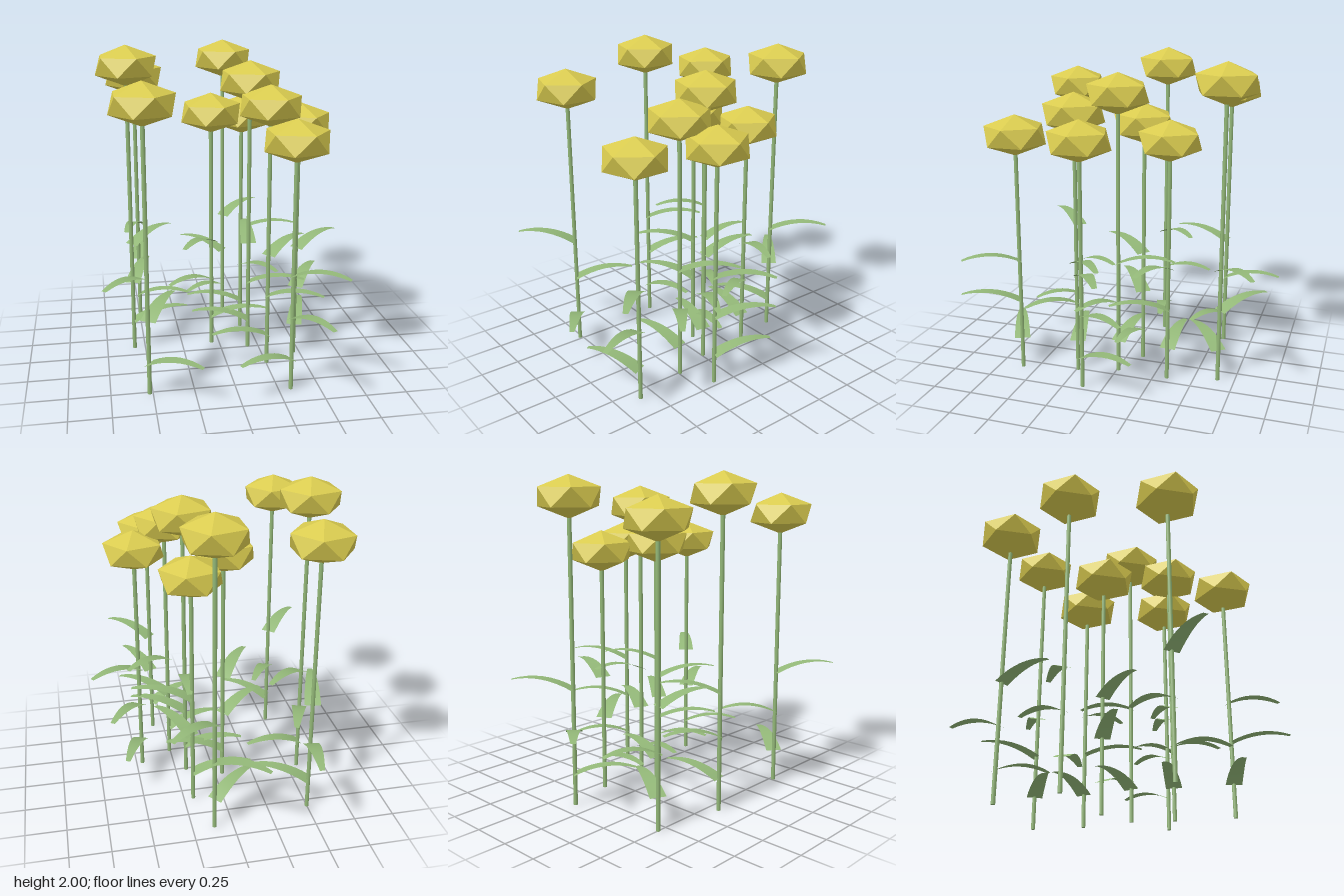
import * as THREE from 'three';

const petalYellow = new THREE.MeshStandardMaterial({ name: 'petalYellow', color: 0xd9cb4f });
const stemGreen = new THREE.MeshStandardMaterial({ name: 'stemGreen', color: 0x93b878 });
const leafGreen = new THREE.MeshStandardMaterial({ name: 'leafGreen', color: 0x93b878, side: THREE.DoubleSide });

const LEAF_HEIGHTS = [0.2, 0.465, 0.73];

// x, z, head centre height, leaf directions in degrees (low, middle, high), from +x towards +z
const FLOWERS = [
  [-0.50, -0.56, 1.755, [26, -82, 105]],
  [-0.57, -0.11, 1.875, [-10, -70, -42]],
  [-0.52, 0.515, 1.74, [37, -60, 132]],
  [0.115, -0.645, 1.855, [141, -139, -40]],
  [0.19, -0.335, 1.52, [184, 60, 17]],
  [-0.05, -0.105, 1.575, [10, 144, 125]],
  [0.18, -0.01, 1.78, [190, 25, -85]],
  [0.255, 0.24, 1.665, [169, 35, -40]],
  [0.46, 0.13, 1.54, [-70, -56, -33]],
  [0.325, 0.595, 1.525, [155, 65, 45]],
];

// Flattened icosahedron standing on a vertex, upper ring pointing to +x
function headGeometry() {
  const g = new THREE.IcosahedronGeometry(0.208, 0);
  g.rotateX(-Math.atan((1 + Math.sqrt(5)) / 2));
  g.rotateY(Math.PI / 2);
  g.scale(1, 0.6, 1);
  return g;
}

// Arched tapering blade running out along +x from the stem
function leafGeometry() {
  const segments = 8;
  const g = new THREE.PlaneGeometry(1, 1, segments, 1);
  g.rotateX(-Math.PI / 2);
  const p = g.attributes.position;
  for (let i = 0; i < p.count; i++) {
    const t = p.getX(i) + 0.5;
    const width = 0.1 - 0.028 * t - 0.042 * t * t;
    const y = 0.07 * (1 - ((t - 0.68) / 0.68) ** 2);
    p.setXYZ(i, 0.37 * t, y, p.getZ(i) * width);
  }
  g.computeVertexNormals();
  return g;
}

export function createModel() {
  const model = new THREE.Group();
  model.name = 'flowerPatch';
  const head = headGeometry();
  const leaf = leafGeometry();

  FLOWERS.forEach(([x, z, height, angles]) => {
    const flower = new THREE.Group();
    flower.name = 'flower';
    flower.position.set(x, 0, z);

    // Stem, ending inside the head
    const stemGeometry = new THREE.CylinderGeometry(0.013, 0.013, height, 8);
    const stem = new THREE.Mesh(stemGeometry, stemGreen);
    stem.name = 'stem';
    stem.position.y = height / 2;
    flower.add(stem);

    // Flower head
    const bloom = new THREE.Mesh(head, petalYellow);
    bloom.name = 'flowerHead';
    bloom.position.y = height;
    flower.add(bloom);

    // One leaf at each level
    angles.forEach((degrees, i) => {
      const blade = new THREE.Mesh(leaf, leafGreen);
      blade.name = 'leaf';
      blade.position.y = LEAF_HEIGHTS[i];
      blade.rotation.y = -THREE.MathUtils.degToRad(degrees);
      flower.add(blade);
    });

    model.add(flower);
  });

  return model;
}
